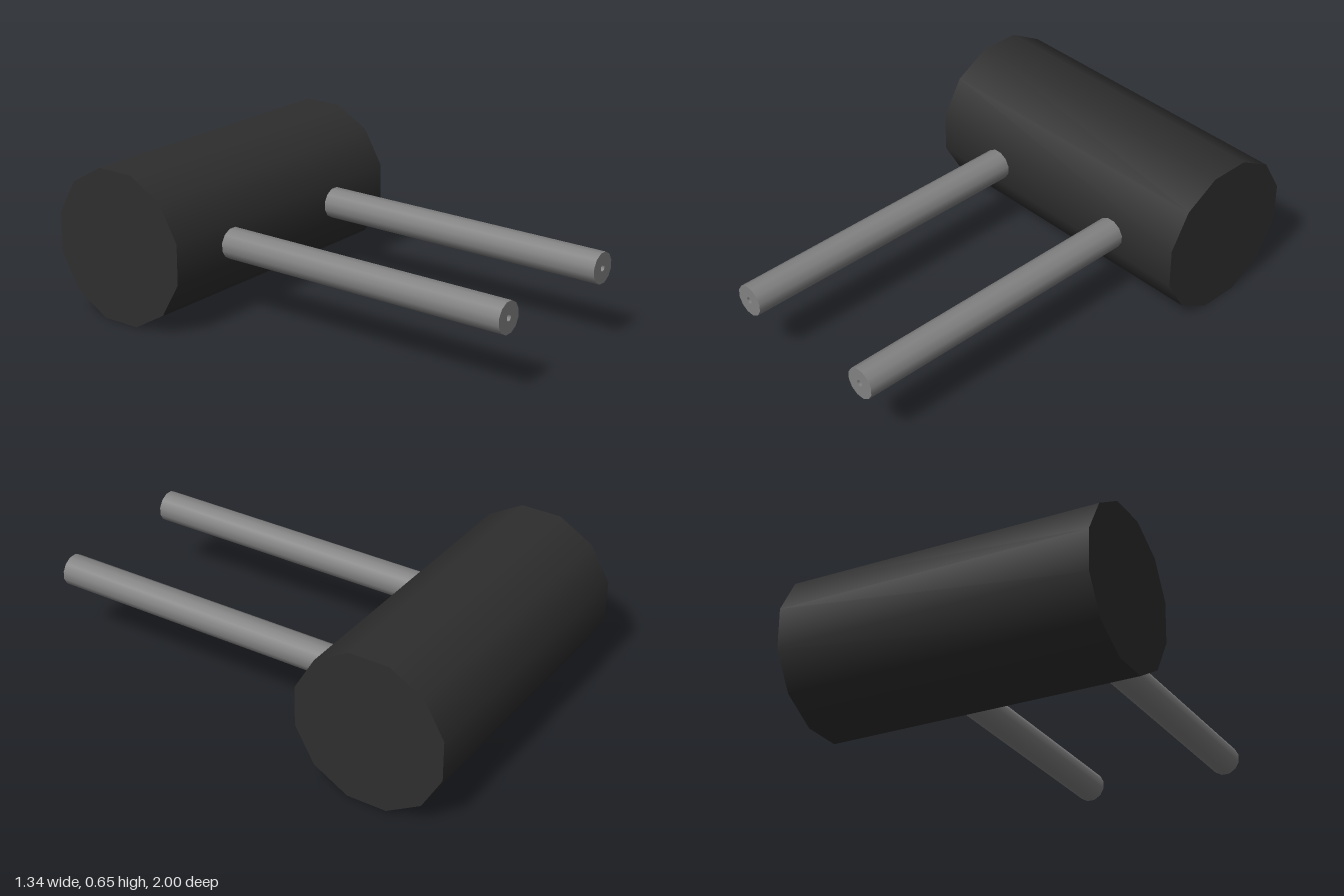
import * as THREE from 'three';

const SIDES = 12;
const TURN = Math.PI / SIDES; // half a step, so flats face the axes
const AXIS_Y = 0.325;

export function createModel() {
  const model = new THREE.Group();
  const charcoal = new THREE.MeshStandardMaterial({ name: 'charcoal', color: 0x2e2e2e });
  const grey = new THREE.MeshStandardMaterial({ name: 'grey', color: 0x828282 });

  // Large horizontal drum, smooth around its twelve sides
  const drumRadius = 0.325 / Math.cos(TURN);
  const drumGeometry = new THREE.CylinderGeometry(drumRadius, drumRadius, 1.34, SIDES, 1, false, TURN);
  drumGeometry.rotateZ(Math.PI / 2);
  const drum = new THREE.Mesh(drumGeometry, charcoal);
  drum.name = 'drum';
  drum.position.set(0, AXIS_Y, -0.675);
  model.add(drum);

  // Two parallel rods reaching forward, each with a fine bore
  const front = 1, back = -0.42, bore = 0.014;
  const length = front - back;
  const rodRadius = 0.065 / Math.cos(TURN);
  const wallGeometry = new THREE.CylinderGeometry(rodRadius, rodRadius, length, SIDES, 1, true, TURN);
  wallGeometry.rotateX(Math.PI / 2);
  const endGeometry = new THREE.RingGeometry(bore, rodRadius, SIDES, 1, TURN);
  endGeometry.translate(0, 0, length / 2);
  // Profile runs downward so the bore faces inward
  const boreGeometry = new THREE.LatheGeometry(
    [new THREE.Vector2(bore, length / 2), new THREE.Vector2(bore, -length / 2)], SIDES, TURN);
  boreGeometry.rotateX(Math.PI / 2);

  for (const side of [-1, 1]) {
    const rod = new THREE.Group();
    rod.name = side > 0 ? 'leftRod' : 'rightRod';
    for (const [name, geometry] of [['rodWall', wallGeometry], ['rodEnd', endGeometry], ['rodBore', boreGeometry]]) {
      const mesh = new THREE.Mesh(geometry, grey);
      mesh.name = name;
      rod.add(mesh);
    }
    rod.position.set(side * 0.335, AXIS_Y, (front + back) / 2);
    model.add(rod);
  }
  return model;
}
